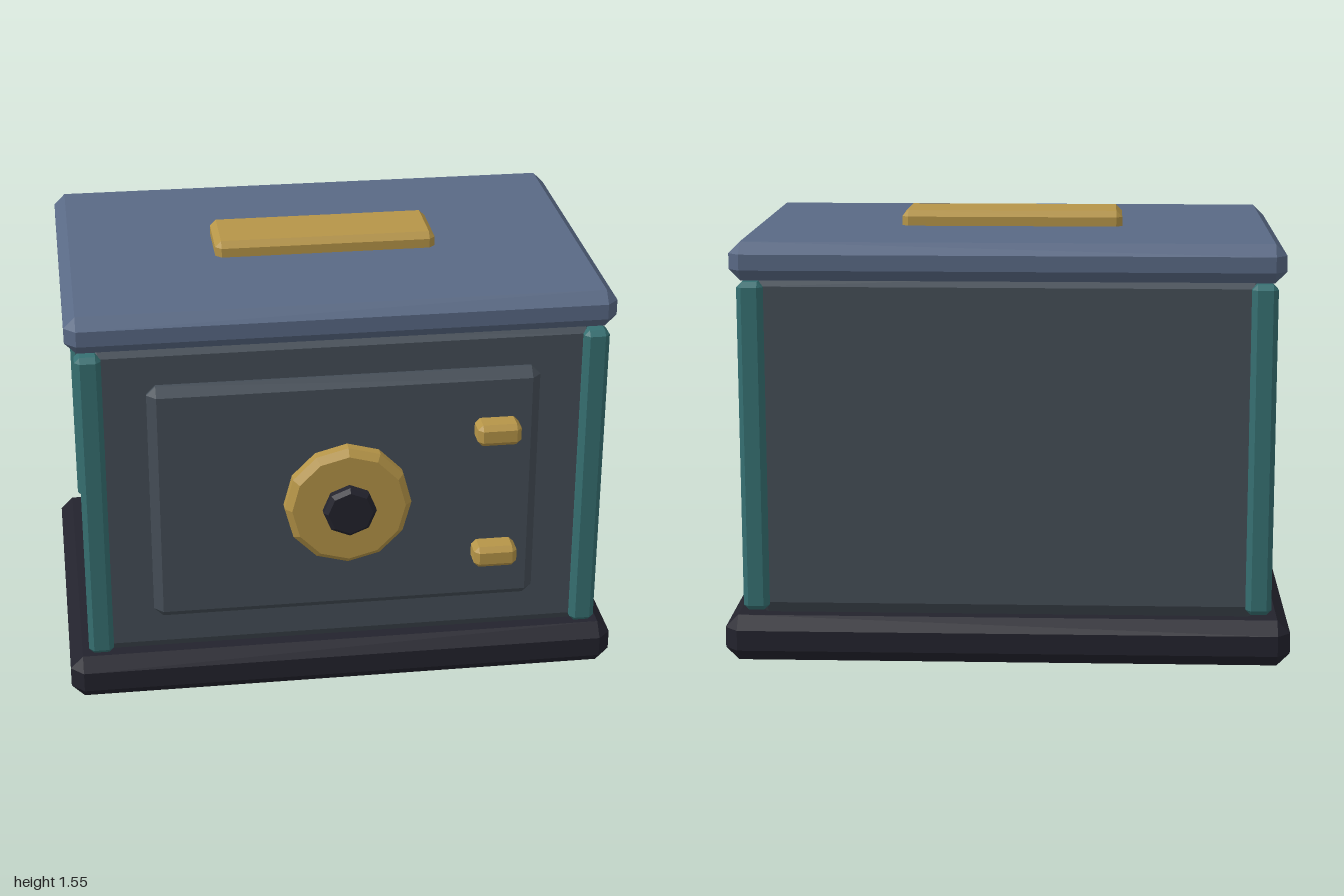
import * as THREE from 'three';
import { ConvexGeometry } from 'three/addons/geometries/ConvexGeometry.js';

const mat = (name, color) => {
  const m = new THREE.MeshStandardMaterial({ color });
  m.name = name;
  return m;
};

// Box with every edge chamfered by c, given as min and max extents
function chamferBox([x0, x1], [y0, y1], [z0, z1], c) {
  const half = [(x1 - x0) / 2, (y1 - y0) / 2, (z1 - z0) / 2];
  const points = [];
  for (let axis = 0; axis < 3; axis++)
    for (const sx of [-1, 1]) for (const sy of [-1, 1]) for (const sz of [-1, 1]) {
      const h = half.map((v, i) => (i === axis ? v : v - c));
      points.push(new THREE.Vector3(sx * h[0], sy * h[1], sz * h[2]));
    }
  return new ConvexGeometry(points).translate((x0 + x1) / 2, (y0 + y1) / 2, (z0 + z1) / 2);
}

// Chamfered faceted disc facing +z, with a corner pointing up
function chamferDisc(r, z0, z1, c, sides) {
  const points = [];
  for (const [radius, z] of [[r - c, z0], [r, z0 + c], [r, z1 - c], [r - c, z1]])
    for (let i = 0; i < sides; i++) {
      const a = (i / sides) * Math.PI * 2;
      points.push(new THREE.Vector3(Math.sin(a) * radius, Math.cos(a) * radius, z));
    }
  return new ConvexGeometry(points);
}

export function createModel() {
  const group = new THREE.Group();
  group.name = 'safe';
  const charcoal = mat('charcoal', 0x454e57);
  const black = mat('black', 0x23232d);
  const blue = mat('slate blue', 0x596985);
  const teal = mat('teal', 0x367072);
  const gold = mat('gold', 0xb69548);
  const add = (name, geometry, material) => {
    const mesh = new THREE.Mesh(geometry, material);
    mesh.name = name;
    group.add(mesh);
    return mesh;
  };

  // Plinth, cabinet and lid
  add('base', chamferBox([-1, 1], [0, 0.165], [-0.725, 0.605], 0.046), black);
  add('body', chamferBox([-0.91, 0.91], [0.155, 1.4], [-0.68, 0.56], 0.058), charcoal);
  add('lid', chamferBox([-0.96, 0.96], [1.36, 1.495], [-0.7, 0.58], 0.04), blue);
  add('topHandle', chamferBox([-0.4, 0.4], [1.46, 1.55], [-0.19, 0.07], 0.022), gold);

  // Corner posts
  for (const [side, x] of [['left', [0.84, 0.93]], ['right', [-0.93, -0.84]]]) {
    add(side + 'FrontPost', chamferBox(x, [0.19, 1.36], [0.505, 0.595], 0.018), teal);
    add(side + 'BackPost', chamferBox(x, [0.19, 1.36], [-0.715, -0.625], 0.018), teal);
  }

  // Door with dial, knob and hinges
  add('door', chamferBox([-0.69, 0.69], [0.325, 1.235], [0.52, 0.605], 0.032), charcoal);
  add('dial', chamferDisc(0.225, 0.6, 0.685, 0.024, 12), gold).position.y = 0.775;
  add('knob', chamferDisc(0.094, 0.66, 0.725, 0.015, 8), black).position.y = 0.775;
  for (const [name, y] of [['upperHinge', 1.02], ['lowerHinge', 0.535]])
    add(name, chamferBox([0.455, 0.61], [y - 0.04, y + 0.04], [0.58, 0.685], 0.018), gold);

  // Centre the depth
  const box = new THREE.Box3().setFromObject(group);
  const shift = -(box.min.z + box.max.z) / 2;
  group.children.forEach((m) => { m.position.z += shift; });
  return group;
}
